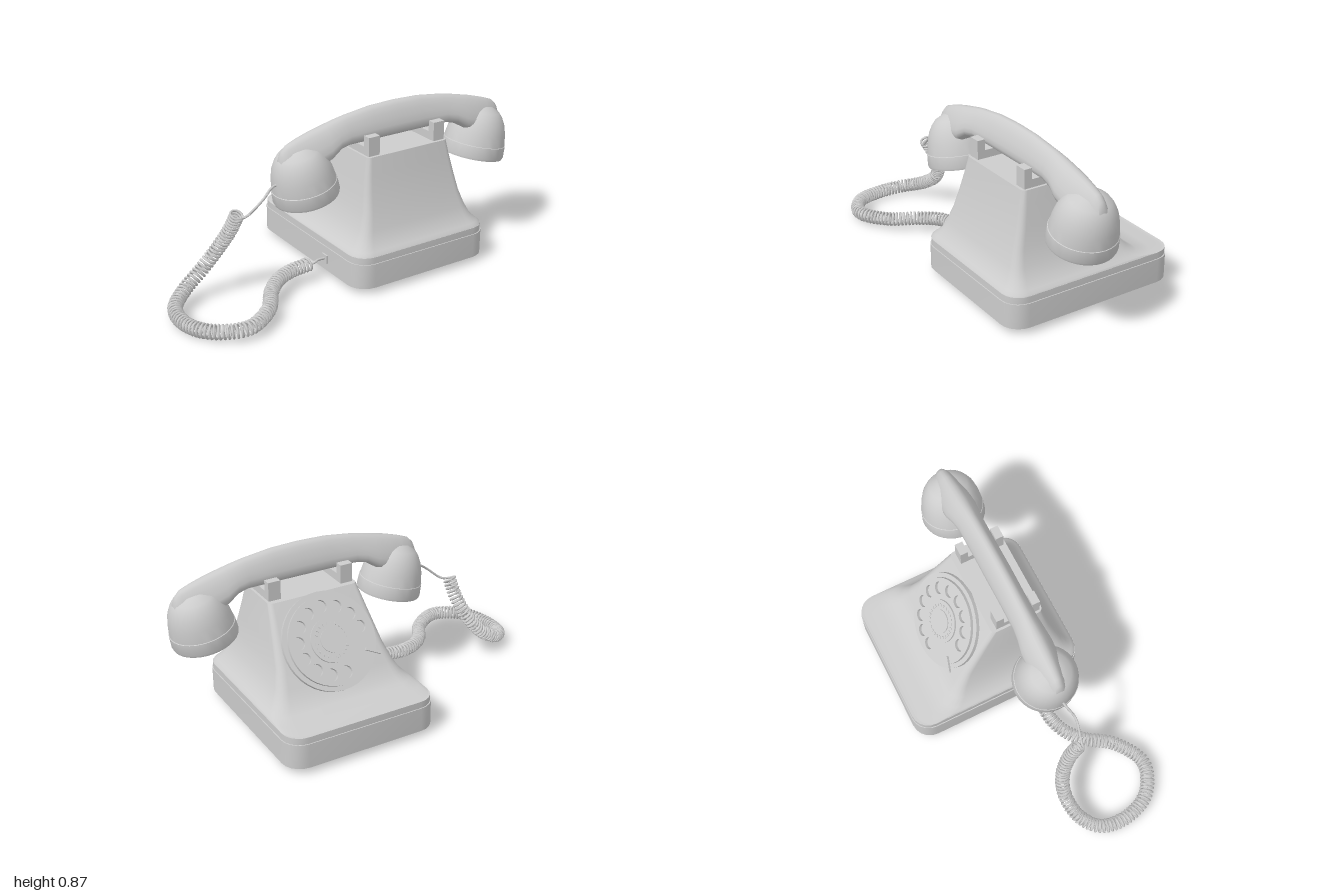
import * as THREE from 'three';
import { toCreasedNormals } from 'three/addons/utils/BufferGeometryUtils.js';

const CX = 0.305;   // middle of the telephone, the cord lies to its right
const HZ = 0.142;   // centre line of the handset
const grey = new THREE.MeshStandardMaterial({ color: 0xcccccc });
grey.name = 'grey';

function add(parent, name, geometry, x = 0, y = 0, z = 0, crease = 0.6) {
  const mesh = new THREE.Mesh(toCreasedNormals(geometry, crease), grey);
  mesh.name = name;
  mesh.position.set(x, y, z);
  parent.add(mesh);
  return mesh;
}

// Skin closed rings of equal length and cap both ends
function loft(rings) {
  const n = rings[0].length, pos = [], idx = [];
  rings.forEach(r => r.forEach(p => pos.push(p.x, p.y, p.z)));
  for (let i = 0; i < rings.length - 1; i++) {
    for (let j = 0; j < n; j++) {
      const a = i * n + j, b = i * n + (j + 1) % n;
      idx.push(a, b, b + n, a, b + n, a + n);
    }
  }
  [0, rings.length - 1].forEach(i => {
    const c = new THREE.Vector3();
    rings[i].forEach(p => c.addScaledVector(p, 1 / n));
    const k = pos.length / 3;
    pos.push(c.x, c.y, c.z);
    for (let j = 0; j < n; j++) {
      const a = i * n + j, b = i * n + (j + 1) % n;
      if (i) idx.push(k, a, b); else idx.push(k, b, a);
    }
  });
  const g = new THREE.BufferGeometry();
  g.setAttribute('position', new THREE.Float32BufferAttribute(pos, 3));
  g.setIndex(idx);
  return g;
}

// Horizontal rounded rectangle at height y
function roundedRing(y, halfW, zFront, zBack, r) {
  const ring = [], zc = (zFront + zBack) / 2, hd = (zFront - zBack) / 2;
  [[1, 1], [-1, 1], [-1, -1], [1, -1]].forEach(([sx, sz], q) => {
    for (let k = 0; k <= 5; k++) {
      const a = (q + k / 5) * Math.PI / 2;
      ring.push(new THREE.Vector3(
        CX + sx * (halfW - r) + r * Math.cos(a), y,
        zc - sz * (hd - r) - r * Math.sin(a)));
    }
  });
  return ring;
}

function buildBase(parent) {
  const slab = (name, y0, y1, inset) => add(parent, name, loft([y0, y1].map(y =>
    roundedRing(y, 0.41 - inset, 0.44 - inset, -0.524 + inset, 0.1 - inset))));
  slab('base', 0.04, 0.17, 0);
  slab('baseRim', 0.17, 0.205, 0.005);
  for (const x of [-0.01, 0.62]) for (const z of [0.335, -0.422])
    add(parent, 'foot', new THREE.CylinderGeometry(0.058, 0.058, 0.02, 16), x, 0.033, z);
  add(parent, 'cordSocket', new THREE.BoxGeometry(0.012, 0.045, 0.045), -0.107, 0.105, 0.14);
}

function buildBody(parent) {
  // height, half width, front z, back z, corner radius
  const sections = [
    [0.204, 0.405, 0.435, -0.515, 0.095],
    [0.212, 0.4, 0.43, -0.42, 0.09],
    [0.224, 0.385, 0.418, -0.345, 0.08],
    [0.255, 0.355, 0.39, -0.295, 0.065],
    [0.31, 0.325, 0.366, -0.252, 0.05],
    [0.39, 0.297, 0.338, -0.197, 0.04],
    [0.483, 0.279, 0.311, -0.133, 0.035],
    [0.57, 0.262, 0.29, -0.073, 0.03],
    [0.658, 0.246, 0.272, -0.012, 0.025]
  ];
  add(parent, 'body', loft(sections.map(s => roundedRing(...s))), 0, 0, 0, 0.5);
  // Cradle: a low saddle with a prong at each end
  for (const s of [-1, 1]) {
    const x = CX + s * 0.2;
    add(parent, 'cradleSaddle', new THREE.BoxGeometry(0.066, 0.06, 0.2), x, 0.67, HZ - 0.004);
    for (const z of [0.038, 0.236])
      add(parent, 'cradleProng', new THREE.BoxGeometry(0.066, 0.13, 0.042), x, 0.692, z);
  }
}

function buildDial(parent) {
  const dial = new THREE.Group();
  dial.name = 'dial';
  const out = new THREE.Vector3(0, 0.568, -0.823).normalize();
  const right = new THREE.Vector3(-1, 0, 0);
  dial.quaternion.setFromRotationMatrix(
    new THREE.Matrix4().makeBasis(right, out.clone().cross(right), out));
  dial.position.set(CX, 0.455, -0.152);
  parent.add(dial);
  const disc = (name, r, z0, z1) => add(dial, name,
    new THREE.CylinderGeometry(r, r, z1 - z0, 40).rotateX(Math.PI / 2), 0, 0, (z0 + z1) / 2);
  disc('dialBase', 0.25, -0.01, 0.02);

  // Finger wheel with eleven holes
  const wheel = new THREE.Shape().absarc(0, 0, 0.226, 0, Math.PI * 2);
  for (let i = 0; i < 11; i++) {
    const a = (10 + i * 27) * Math.PI / 180;
    wheel.holes.push(new THREE.Path().absarc(
      0.172 * Math.cos(a), 0.172 * Math.sin(a), 0.032, 0, Math.PI * 2, true));
  }
  add(dial, 'fingerWheel', new THREE.ExtrudeGeometry(wheel,
    { depth: 0.016, bevelEnabled: false, curveSegments: 20 }), 0, 0, 0.02);
  disc('dialHub', 0.112, 0.03, 0.045);
  disc('dialCentre', 0.062, 0.045, 0.05);
  for (let i = 0; i < 24; i++) {
    const a = i * Math.PI / 12;
    add(dial, 'hubMark', new THREE.BoxGeometry(0.014, 0.01, 0.006),
      0.085 * Math.cos(a), 0.085 * Math.sin(a), 0.046).rotation.z = a;
  }
  const stop = add(dial, 'fingerStop', new THREE.BoxGeometry(0.085, 0.014, 0.012), 0.2, -0.105, 0.042);
  stop.rotation.z = -0.48;
}

function buildHandset(parent) {
  const handset = new THREE.Group();
  handset.name = 'handset';
  parent.add(handset);

  // Handle: distance from middle, bottom, top, half width
  const half = [
    [0, 0.713, 0.88, 0.068], [0.15, 0.713, 0.875, 0.067], [0.3, 0.712, 0.855, 0.068],
    [0.36, 0.7, 0.843, 0.075], [0.42, 0.66, 0.829, 0.085], [0.5, 0.63, 0.81, 0.085],
    [0.58, 0.61, 0.786, 0.075], [0.635, 0.6, 0.765, 0.06], [0.662, 0.6, 0.738, 0.048],
    [0.675, 0.6, 0.705, 0.04]
  ];
  const stations = [
    ...half.slice(1).reverse().map(([u, ...r]) => [-u, ...r]), ...half];
  const side = [[0.2, 0.985], [0.42, 0.9], [0.64, 0.74], [0.83, 0.56],
    [0.97, 0.36], [1, 0.22], [0.9, 0.09], [0.6, 0]];
  const outline = [[0, 1], ...side, ...side.map(([z, y]) => [-z, y]).reverse()];
  add(handset, 'handle', loft(stations.map(([u, y0, y1, w]) => outline.map(([z, y]) =>
    new THREE.Vector3(CX + u, y0 + (y1 - y0) * y, HZ + z * w)))), 0, 0, 0, 0.7);

  // Earpiece and mouthpiece
  const profile = [[0, 0.006], [0.14, 0.006], [0.145, 0], [0.165, 0], [0.169, 0.012],
    [0.166, 0.07], [0.163, 0.072], [0.154, 0.13], [0.14, 0.18], [0.121, 0.215],
    [0.1, 0.24], [0.055, 0.265], [0, 0.275]].map(p => new THREE.Vector2(...p));
  for (const s of [-1, 1]) {
    const cup = add(handset, s < 0 ? 'mouthpiece' : 'earpiece',
      new THREE.LatheGeometry(profile, 32), CX + s * 0.522, 0.483, HZ);
    cup.rotation.z = -s * 0.218;
  }
}

function buildCord(parent) {
  const curve = pts => new THREE.CatmullRomCurve3(pts.map(p => new THREE.Vector3(...p)));
  const path = curve([
    [-0.2, 0.1, 0.14], [-0.32, 0.092, 0.145], [-0.41, 0.085, 0.18], [-0.49, 0.075, 0.25],
    [-0.585, 0.068, 0.385], [-0.745, 0.062, 0.475], [-0.9, 0.055, 0.4], [-0.96, 0.046, 0.25],
    [-0.94, 0.055, 0.11], [-0.85, 0.09, 0.03], [-0.73, 0.17, 0.005], [-0.65, 0.275, 0.03],
    [-0.61, 0.38, 0.08], [-0.6, 0.47, 0.13]
  ]);
  // Helix wound round the path
  const turns = 92, n = turns * 12, R = 0.032;
  const frames = path.computeFrenetFrames(n, false);
  const pts = [];
  for (let i = 0; i <= n; i++) {
    const a = i / 12 * Math.PI * 2;
    pts.push(path.getPointAt(i / n)
      .addScaledVector(frames.normals[i], R * Math.cos(a))
      .addScaledVector(frames.binormals[i], R * Math.sin(a)));
  }
  const helix = new THREE.CatmullRomCurve3(pts);
  helix.arcLengthDivisions = n * 3;
  add(parent, 'coiledCord', new THREE.TubeGeometry(helix, n, 0.0065, 6), 0, 0, 0, 1.5);

  // Straight ends to the base and the mouthpiece
  const first = pts[0].toArray(), last = pts[n].toArray();
  const ends = [
    [[-0.1, 0.105, 0.14], [-0.15, 0.107, 0.14], [-0.185, 0.1, 0.145], first],
    [last, [-0.565, 0.465, 0.165], [-0.48, 0.535, 0.175], [-0.42, 0.574, 0.155], [-0.36, 0.58, 0.142]]
  ];
  for (const e of ends)
    add(parent, 'cordEnd', new THREE.TubeGeometry(curve(e), 24, 0.0065, 6), 0, 0, 0, 1.5);
}

export function createModel() {
  const model = new THREE.Group();
  model.name = 'telephone';
  buildBase(model);
  buildBody(model);
  buildDial(model);
  buildHandset(model);
  buildCord(model);
  return model;
}
